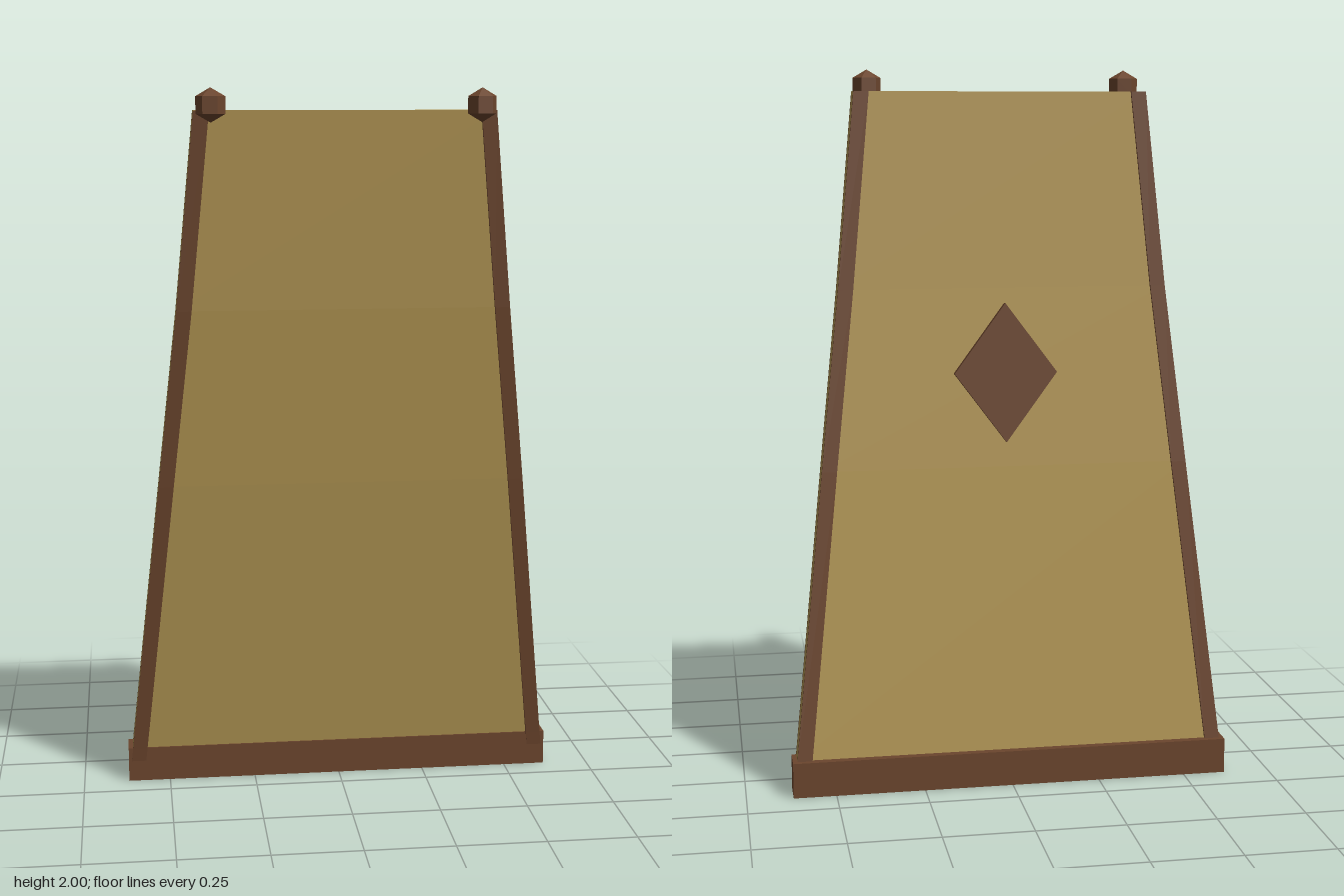
import * as THREE from 'three';

// Centre line of the hanging cloth: height, half width, depth
const SECTIONS = [
  { y: 0.01, w: 0.617, z: -0.117 },
  { y: 0.1, w: 0.607, z: -0.108 },
  { y: 0.9, w: 0.519, z: -0.016 },
  { y: 1.4, w: 0.463, z: 0.034 },
  { y: 1.94, w: 0.41, z: 0.07 },
];

// Lofts a closed solid through rectangles; span(section) gives [x0, x1, z0, z1]
function loft(span) {
  const positions = [];
  const index = [];
  for (const s of SECTIONS) {
    const [x0, x1, z0, z1] = span(s);
    positions.push(x0, s.y, z1, x1, s.y, z1, x1, s.y, z0, x0, s.y, z0);
  }
  const last = (SECTIONS.length - 1) * 4;
  for (let r = 0; r < last; r += 4) {
    for (let i = 0; i < 4; i++) {
      const a = r + i, b = r + (i + 1) % 4;
      index.push(a, b, b + 4, a, b + 4, a + 4);
    }
  }
  index.push(0, 2, 1, 0, 3, 2);
  index.push(last, last + 1, last + 2, last, last + 2, last + 3);
  const indexed = new THREE.BufferGeometry();
  indexed.setAttribute('position', new THREE.Float32BufferAttribute(positions, 3));
  indexed.setIndex(index);
  const geometry = indexed.toNonIndexed();
  geometry.computeVertexNormals();
  return geometry;
}

export function createModel() {
  const group = new THREE.Group();
  const gold = new THREE.MeshStandardMaterial({ color: 0xb09452 });
  gold.name = 'gold cloth';
  const brown = new THREE.MeshStandardMaterial({ color: 0x6b452d });
  brown.name = 'brown trim';

  function add(name, geometry, material) {
    const mesh = new THREE.Mesh(geometry, material);
    mesh.name = name;
    group.add(mesh);
    return mesh;
  }

  // Main cloth panel
  const half = 0.027;
  add('clothPanel', loft((s) => [-s.w, s.w, s.z - half, s.z + half]), gold);

  for (const side of [1, -1]) {
    const label = side > 0 ? 'left' : 'right';

    // Thin raised borders on the front and back faces
    for (const face of [1, -1]) {
      const strip = loft((s) => {
        const outer = side * s.w, inner = side * (s.w - 0.042);
        const a = s.z + face * half, b = s.z + face * (half + 0.008);
        return [Math.min(outer, inner), Math.max(outer, inner), Math.min(a, b), Math.max(a, b)];
      });
      add(label + (face > 0 ? 'FrontBorder' : 'BackBorder'), strip, brown);
    }

    // Faceted shoulder clasp
    const bead = new THREE.SphereGeometry(0.046, 6, 3).toNonIndexed();
    bead.computeVertexNormals();
    const clasp = add(label + 'Clasp', bead, brown);
    clasp.scale.z = 0.9;
    clasp.rotation.y = side * 0.1;
    clasp.position.set(side * 0.365, 1.954, 0.125);
  }

  // Bottom hem bar
  const hem = add('hem', new THREE.BoxGeometry(1.24, 0.1, 0.08), brown);
  hem.position.set(0, 0.05, -0.117);

  // Diamond emblem on the back
  const diamond = new THREE.Shape([
    new THREE.Vector2(0, -0.195),
    new THREE.Vector2(0.145, 0),
    new THREE.Vector2(0, 0.195),
    new THREE.Vector2(-0.145, 0),
  ]);
  const emblem = add('backDiamond', new THREE.ExtrudeGeometry(diamond, { depth: 0.022, bevelEnabled: false }), brown);
  emblem.position.set(0, 1.165, -0.04);
  emblem.rotation.x = 0.064;

  return group;
}
